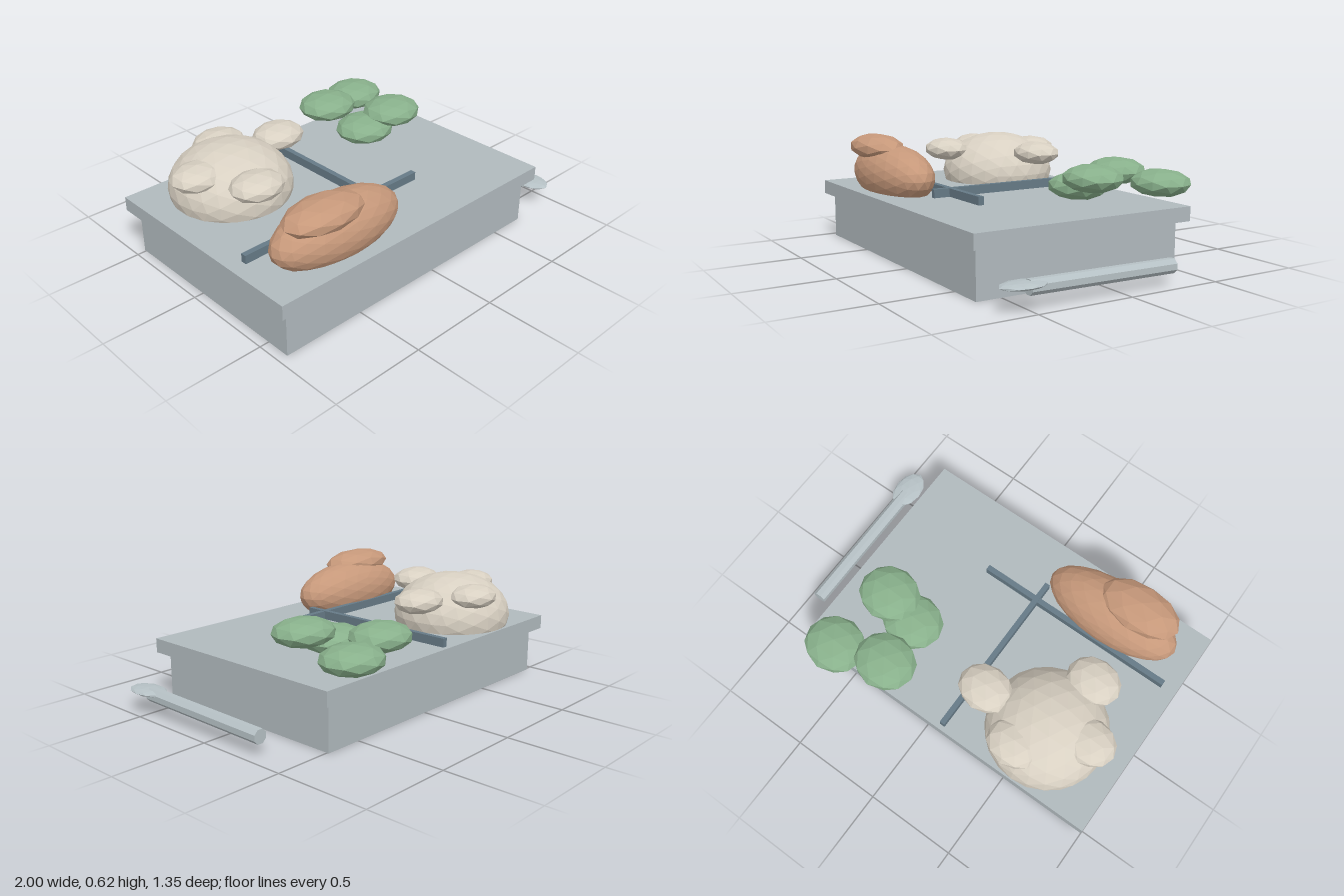
import * as THREE from 'three';

function flat(name, color) {
  const m = new THREE.MeshStandardMaterial({ color, flatShading: true });
  m.name = name;
  return m;
}

export function createModel() {
  const model = new THREE.Group();
  model.name = 'lunchTray';

  const tray = flat('trayGrey', 0xb0b9bd);
  const slate = flat('dividerSlate', 0x667a86);
  const cream = flat('riceCream', 0xd8d0c2);
  const brown = flat('meatBrown', 0xc6987a);
  const green = flat('leafGreen', 0x88b08b);
  const steel = flat('spoonSteel', 0xb6c1c5);

  function add(parent, name, geometry, material, [x, y, z]) {
    const mesh = new THREE.Mesh(geometry, material);
    mesh.name = name;
    mesh.position.set(x, y, z);
    parent.add(mesh);
    return mesh;
  }
  const group = (name) => {
    const g = new THREE.Group();
    g.name = name;
    model.add(g);
    return g;
  };
  // Box given by its lower and upper corners
  function box(parent, name, material, a, b) {
    const size = b.map((v, i) => v - a[i]);
    return add(parent, name, new THREE.BoxGeometry(...size), material, a.map((v, i) => (v + b[i]) / 2));
  }
  // Faceted ellipsoid with given centre and radii
  function lump(parent, name, material, centre, radii, detail = 1) {
    const geometry = new THREE.IcosahedronGeometry(1, detail);
    geometry.scale(...radii);
    return add(parent, name, geometry, material, centre);
  }

  // Tray: body and overhanging rim slab
  const trayGroup = group('tray');
  box(trayGroup, 'trayBody', tray, [-0.95, 0, -0.51], [0.7, 0.25, 0.63]);
  box(trayGroup, 'trayTop', tray, [-1, 0.245, -0.555], [0.755, 0.32, 0.67]);

  // Crossing divider bars
  const dividers = group('dividers');
  box(dividers, 'dividerAcross', slate, [-0.92, 0.31, 0.292], [0.19, 0.364, 0.322]);
  box(dividers, 'dividerAlong', slate, [-0.14, 0.31, -0.53], [-0.112, 0.366, 0.412]);

  // Rice mound with clumps round it
  const rice = group('rice');
  lump(rice, 'riceMound', cream, [-0.57, 0.37, -0.24], [0.317, 0.22, 0.317], 3);
  [
    [-0.22, 0.5, -0.285, 0],
    [-0.635, 0.503, 0.06, 0],
    [-0.495, 0.5, -0.43, 0],
    [-0.785, 0.5, -0.21, 0],
  ].forEach(([x, y, z]) => lump(rice, 'riceClump', cream, [x, y, z], [0.145, 0.064, 0.122]));

  // Meat piece with a smaller slice on top
  const meat = group('meat');
  lump(meat, 'meatPiece', brown, [-0.5, 0.405, 0.462], [0.38, 0.16, 0.167], 3);
  lump(meat, 'meatSlice', brown, [-0.615, 0.543, 0.505], [0.228, 0.073, 0.13]);

  // Greens
  const greens = group('greens');
  [
    [0.285, 0.45, -0.455],
    [0.56, 0.414, -0.525],
    [0.32, 0.395, -0.185],
    [0.492, 0.457, -0.15],
  ].forEach((centre) => lump(greens, 'greensPiece', green, centre, [0.167, 0.071, 0.151]));

  // Spoon beside the tray, handle sloping slightly down to the back
  const spoon = group('spoon');
  const handle = new THREE.CylinderGeometry(0.038, 0.038, 0.8, 8);
  handle.rotateY(Math.PI / 8);
  handle.rotateX(Math.PI / 2 - 0.0125);
  add(spoon, 'spoonHandle', handle, steel, [0.92, 0.095, 0.1]);
  lump(spoon, 'spoonBowl', steel, [0.92, 0.114, 0.525], [0.076, 0.018, 0.12]);

  return model;
}
